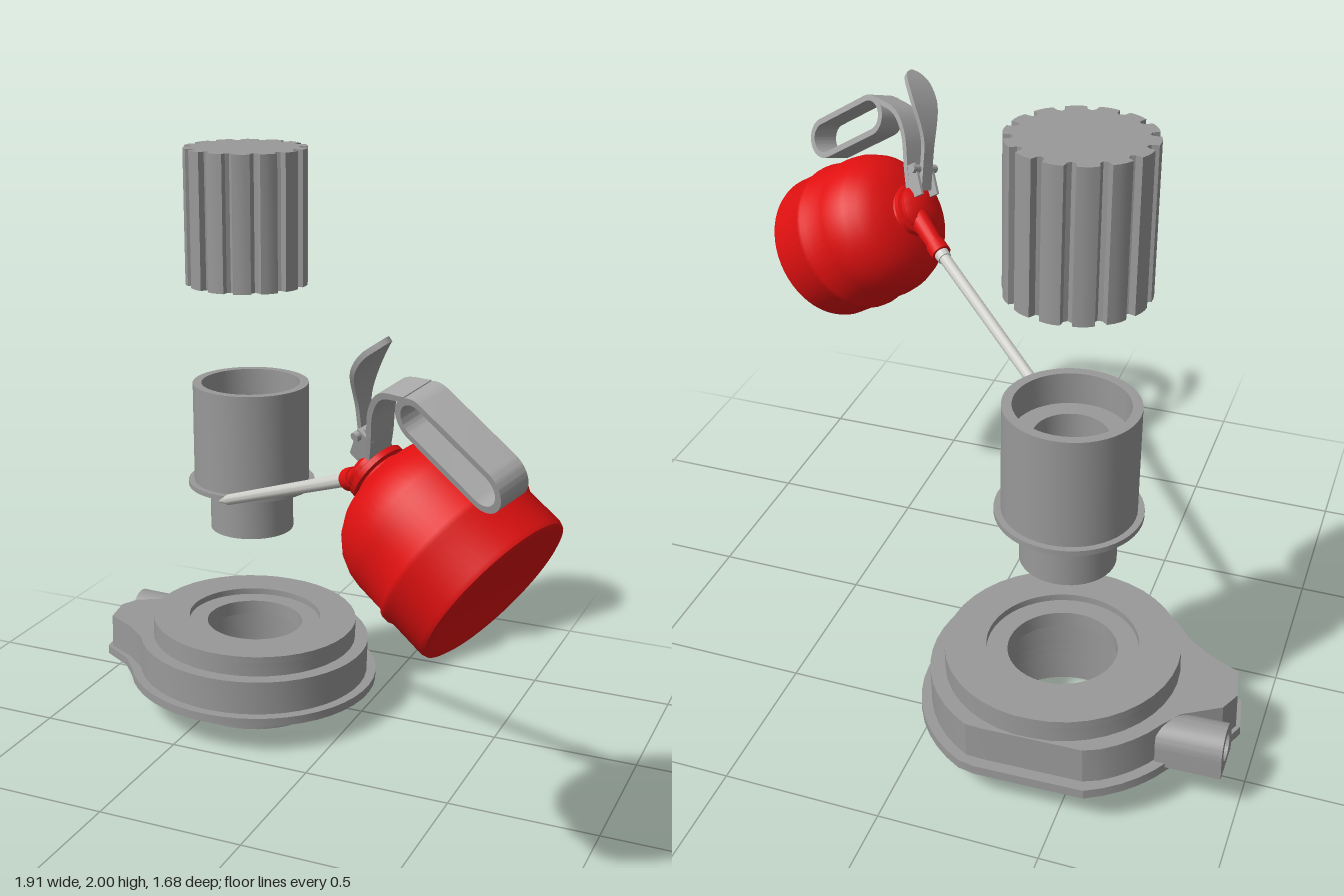
import * as THREE from 'three';
import { toCreasedNormals } from 'three/addons/utils/BufferGeometryUtils.js';

const material = (name, color) => {
  const m = new THREE.MeshStandardMaterial({ color });
  m.name = name;
  return m;
};
const V2 = (p) => new THREE.Vector2(p[0], p[1]);

function add(parent, name, geometry, mat, crease = 0.6) {
  const mesh = new THREE.Mesh(toCreasedNormals(geometry, crease), mat);
  mesh.name = name;
  parent.add(mesh);
  return mesh;
}

const lathe = (pts, segments = 48) => new THREE.LatheGeometry(pts.map(V2), segments);

function circleHole(shape, x, y, r) {
  const hole = new THREE.Path();
  hole.absarc(x, y, r, 0, Math.PI * 2, true);
  shape.holes.push(hole);
}

// Upright slab between two heights, from a shape drawn in (x, -z)
function slab(shape, y0, y1) {
  const g = new THREE.ExtrudeGeometry(shape, { depth: y1 - y0, bevelEnabled: false, curveSegments: 24 });
  return g.rotateX(-Math.PI / 2).translate(0, y0, 0);
}

// Round housing outline with a flat back and, if wanted, a lobe on one side
function housingOutline(r, flat, lobe) {
  const pts = [];
  const a0 = lobe ? -147 : -180, a1 = lobe ? 152 : 172;
  for (let i = 0; i <= 40; i++) {
    const a = THREE.MathUtils.degToRad(a0 + (a1 - a0) * i / 40);
    pts.push([r * Math.cos(a), Math.min(flat, r * Math.sin(a))]);
  }
  if (lobe) {
    const k = r / 0.44, inset = 0.44 - r;
    [[-0.42, 0.14], [-0.53, 0.07], [-0.56, 0], [-0.54, -0.115], [-0.43, -0.175]]
      .forEach(([x, y]) => pts.push([x + inset * 0.4, y * k]));
  }
  return new THREE.Shape(pts.map(V2));
}

// Flat strip following a path in the xy plane; width(t) gives the half width along z
function strip(path, width, thick, n = 28) {
  const curve = new THREE.CatmullRomCurve3(path.map(([x, y]) => new THREE.Vector3(x, y, 0)));
  const pos = [], idx = [];
  for (let i = 0; i <= n; i++) {
    const t = i / n, p = curve.getPoint(t), d = curve.getTangent(t), h = width(t);
    const nx = -d.y * thick / 2, ny = d.x * thick / 2;
    pos.push(p.x + nx, p.y + ny, h, p.x + nx, p.y + ny, -h, p.x - nx, p.y - ny, -h, p.x - nx, p.y - ny, h);
    if (i < n) {
      for (let k = 0; k < 4; k++) {
        const a = i * 4 + k, b = i * 4 + (k + 1) % 4;
        idx.push(a, a + 4, b, b, a + 4, b + 4);
      }
    }
  }
  const e = n * 4;
  idx.push(0, 1, 2, 0, 2, 3, e, e + 2, e + 1, e, e + 3, e + 2);
  const g = new THREE.BufferGeometry();
  g.setAttribute('position', new THREE.Float32BufferAttribute(pos, 3));
  g.setIndex(idx);
  g.computeVertexNormals();
  return g;
}

// Cone or cylinder between two points
function rod(a, b, ra, rb) {
  const d = b.clone().sub(a);
  const g = new THREE.CylinderGeometry(rb, ra, d.length(), 20);
  g.applyQuaternion(new THREE.Quaternion().setFromUnitVectors(new THREE.Vector3(0, 1, 0), d.clone().normalize()));
  return g.translate((a.x + b.x) / 2, (a.y + b.y) / 2, (a.z + b.z) / 2);
}

function stadium(path, x0, x1, y0, y1) {
  const r = (x1 - x0) / 2, cx = (x0 + x1) / 2;
  path.absarc(cx, y1 - r, r, 0, Math.PI, false);
  path.absarc(cx, y0 + r, r, Math.PI, Math.PI * 2, false);
  path.closePath();
  return path;
}

export function createModel() {
  const model = new THREE.Group();
  model.name = 'oilCanAndShaftParts';
  const steel = material('steelGrey', 0x999999);
  const bright = material('brightMetal', 0xd0d0cc);
  const lightSteel = material('lightSteel', 0xa6a6a6);
  const red = material('redPaint', 0xe01010);

  // Splined shaft: wide teeth with narrow rounded grooves
  const teeth = 14, gear = [];
  for (let i = 0; i < teeth; i++) {
    [[0, 0.205], [0.22, 0.207], [0.44, 0.207], [0.64, 0.205], [0.68, 0.184], [0.82, 0.176], [0.96, 0.184]].forEach(([f, r]) => {
      const a = (i + f) / teeth * Math.PI * 2;
      gear.push([r * Math.cos(a), r * Math.sin(a)]);
    });
  }
  add(model, 'splinedShaft', slab(new THREE.Shape(gear.map(V2)), 1.55, 2), steel, 0.4)
    .position.set(-0.405, 0, -0.43);

  // Stepped hollow sleeve
  add(model, 'sleeve', lathe([
    [0.11, 0.675], [0.145, 0.675], [0.145, 0.835], [0.22, 0.835], [0.22, 0.852], [0.2, 0.852],
    [0.2, 1.2], [0.17, 1.2], [0.17, 1.1], [0.11, 1.1], [0.11, 0.675],
  ]), steel).position.set(-0.405, 0, -0.45);

  // Bearing housing, slightly tilted
  const housing = new THREE.Group();
  housing.name = 'housing';
  housing.position.set(-0.405, 0, -0.443);
  housing.rotation.z = -0.03;
  model.add(housing);

  const flange = housingOutline(0.443, 0.403, true);
  circleHole(flange, 0, 0, 0.22);
  for (let i = 0; i < 6; i++) {
    const a = (i + 0.5) * Math.PI / 3;
    circleHole(flange, 0.34 * Math.cos(a), 0.34 * Math.sin(a), 0.02);
  }
  add(housing, 'flange', slab(flange, 0.115, 0.145), steel, 0.35);
  const body = housingOutline(0.41, 0.367, true);
  circleHole(body, 0, 0, 0.22);
  add(housing, 'housingBody', slab(body, 0.145, 0.265), steel, 0.35);
  const disc = housingOutline(0.363, 0.361, false);
  circleHole(disc, 0, 0, 0.17);
  add(housing, 'topDisc', slab(disc, 0.265, 0.315), steel, 0.35);
  const rim = housingOutline(0.363, 0.361, false);
  circleHole(rim, 0, 0, 0.235);
  add(housing, 'topRim', slab(rim, 0.315, 0.337), steel, 0.35);
  add(housing, 'lowerBoss', lathe([
    [0.22, 0.01], [0.262, 0.01], [0.262, 0.035], [0.25, 0.04], [0.25, 0.06], [0.262, 0.065],
    [0.262, 0.09], [0.245, 0.095], [0.245, 0.116], [0.22, 0.116], [0.22, 0.01],
  ]), steel);

  // Side port with an arched top
  const port = new THREE.Shape();
  port.moveTo(-0.07, 0.13);
  port.lineTo(0.07, 0.13);
  port.lineTo(0.07, 0.195);
  port.absarc(0, 0.195, 0.07, 0, Math.PI, false);
  port.closePath();
  circleHole(port, 0, 0.195, 0.042);
  const portGeo = new THREE.ExtrudeGeometry(port, { depth: 0.2, bevelEnabled: false, curveSegments: 16 });
  add(housing, 'sidePort', portGeo.rotateY(-Math.PI / 2).translate(-0.35, 0, -0.152), steel);

  // Oil can: local y runs from its bottom to its neck, local x points to the handle
  const can = new THREE.Group();
  can.name = 'oilCan';
  const up = new THREE.Vector3(-0.81, 0.54, -0.23).normalize();
  const out = new THREE.Vector3(0.39, 0.79, 0.47);
  out.addScaledVector(up, -out.dot(up)).normalize();
  const side = new THREE.Vector3().crossVectors(out, up);
  can.quaternion.setFromRotationMatrix(new THREE.Matrix4().makeBasis(out, up, side));
  can.position.set(0.81, 1.01, 0.59);
  model.add(can);

  add(can, 'canBody', lathe([
    [0, 0.008], [0.21, 0.008], [0.235, 0], [0.25, 0.006], [0.255, 0.02], [0.255, 0.135], [0.262, 0.148],
    [0.262, 0.165], [0.252, 0.178], [0.252, 0.27], [0.247, 0.31], [0.23, 0.355], [0.2, 0.395],
    [0.16, 0.425], [0.115, 0.442], [0.085, 0.45], [0.08, 0.46], [0.092, 0.465], [0.092, 0.482],
    [0.08, 0.487], [0.08, 0.5], [0.06, 0.515], [0, 0.52],
  ], 56), red, 0.7);

  // Handle loop and the strap joining it to the neck
  const loop = stadium(new THREE.Shape(), 0.29, 0.43, 0.075, 0.46);
  loop.holes.push(stadium(new THREE.Path(), 0.31, 0.41, 0.095, 0.44));
  const loopGeo = new THREE.ExtrudeGeometry(loop, { depth: 0.1, bevelEnabled: false, curveSegments: 14 });
  add(can, 'handleLoop', loopGeo.translate(0, 0, -0.05), lightSteel);
  add(can, 'handleStrap', strip([[0.05, 0.49], [0.13, 0.505], [0.25, 0.53], [0.33, 0.515], [0.4, 0.44]],
    (t) => 0.04 + 0.01 * t, 0.018), lightSteel);

  // Thumb lever with a rounded spoon end, and its pivot
  const leverWidth = (t) => t < 0.65
    ? 0.022 + 0.033 * THREE.MathUtils.smoothstep(t, 0.3, 0.65)
    : 0.055 * Math.sqrt(Math.max(0.01, 1 - ((t - 0.65) / 0.35) ** 2));
  add(can, 'thumbLever', strip([[0.05, 0.53], [0.12, 0.56], [0.22, 0.6], [0.32, 0.615], [0.4, 0.605], [0.45, 0.585]],
    leverWidth, 0.016), lightSteel);
  const pin = new THREE.CylinderGeometry(0.014, 0.014, 0.11, 16).rotateX(Math.PI / 2);
  add(can, 'leverPivot', pin.translate(0.12, 0.545, 0), lightSteel);
  for (const s of [-1, 1]) {
    const lug = new THREE.BoxGeometry(0.11, 0.055, 0.01);
    add(can, 'pivotLug', lug.translate(0.085, 0.525, s * 0.036), lightSteel);
  }

  // Spout: red elbow and fitting, then the long tapered tube
  const root = new THREE.Vector3(0.42, 1.26, 0.455);
  const start = new THREE.Vector3(0.295, 1.187, 0.352);
  const tip = new THREE.Vector3(-0.41, 0.84, -0.21);
  const along = (t) => start.clone().lerp(tip, t);
  add(model, 'spoutFitting', rod(root, start, 0.035, 0.027), red);
  add(model, 'spoutNut', rod(along(-0.035), along(0.01), 0.034, 0.034), red);
  add(model, 'spoutCollar', rod(start, along(0.035), 0.026, 0.024), bright);
  add(model, 'spoutTube', rod(start, along(0.92), 0.02, 0.018), bright);
  add(model, 'spoutTip', rod(along(0.92), tip, 0.018, 0.004), bright);
  return model;
}
